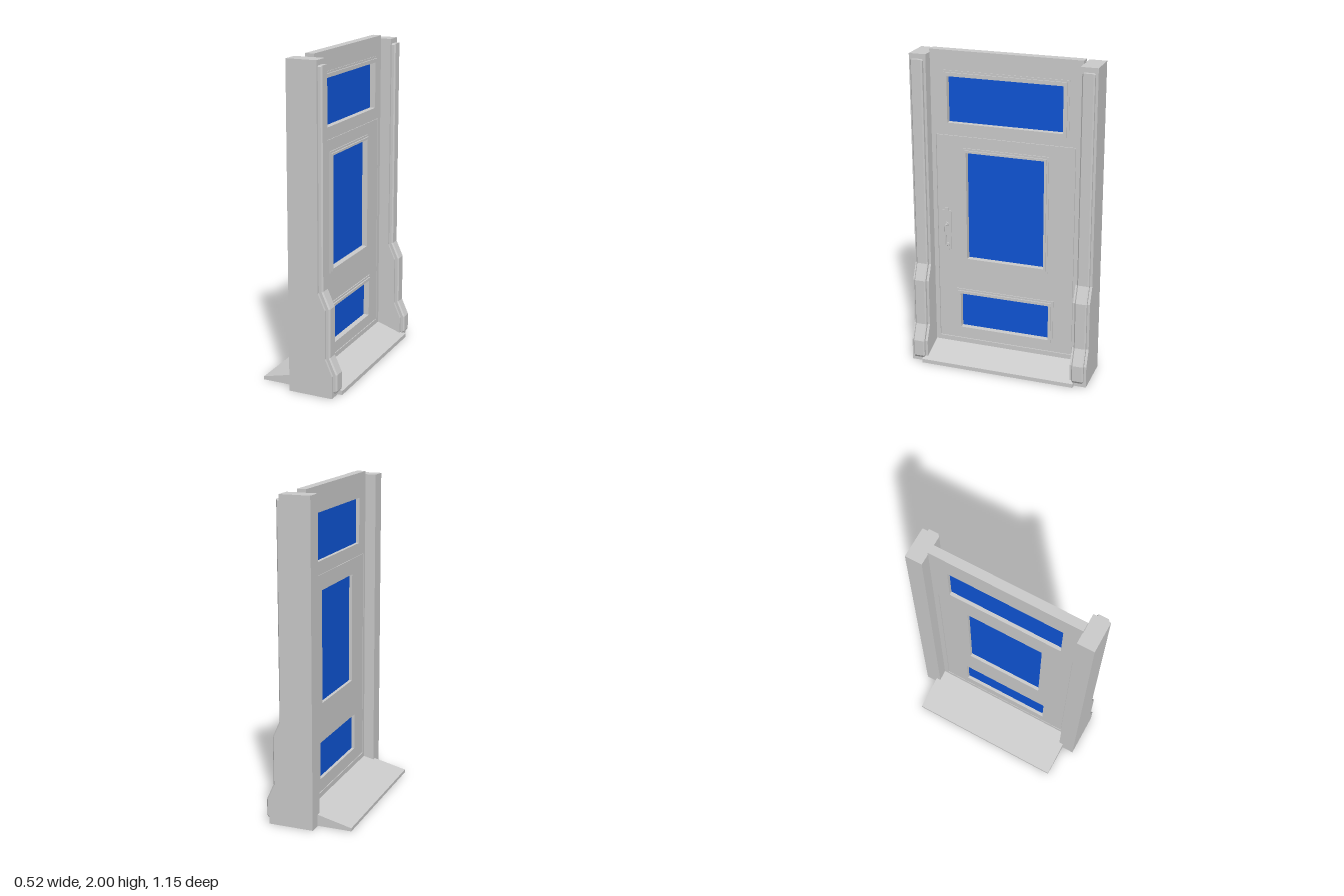
import * as THREE from 'three';

const grey = new THREE.MeshStandardMaterial({ color: 0xcccccc, flatShading: true });
const smooth = new THREE.MeshStandardMaterial({ color: 0xcccccc });
const sheet = new THREE.MeshStandardMaterial({ color: 0xcccccc, flatShading: true, side: THREE.DoubleSide });
const blue = new THREE.MeshStandardMaterial({ color: 0x0f55d7 });

const polygon = pts => new THREE.Shape(pts.map(p => new THREE.Vector2(...p)));

// Rectangle [z0, z1, y0, y1] as a loop; shape x stands for -z
const rect = ([z0, z1, y0, y1]) => [[-z1, y0], [-z0, y0], [-z0, y1], [-z1, y1]];
const grow = ([z0, z1, y0, y1], d) => [z0 - d, z1 + d, y0 - d, y1 + d];

export function createModel() {
  const model = new THREE.Group();
  const add = (name, geometry, material = grey) => {
    const mesh = new THREE.Mesh(geometry, material);
    mesh.name = name;
    model.add(mesh);
    return mesh;
  };

  // Upright slab lying across z, from x0 to x1, with holes
  const slab = (name, outline, holes, x0, x1, material) => {
    const shape = polygon(outline);
    holes.forEach(h => shape.holes.push(new THREE.Path(rect(h).map(p => new THREE.Vector2(...p)))));
    const geo = new THREE.ExtrudeGeometry(shape, { depth: x1 - x0, bevelEnabled: false });
    geo.rotateY(Math.PI / 2).translate(x0, 0, 0);
    return add(name, geo, material);
  };

  // Pillars with a stepped foot, and a bevelled strip following the front
  const front = [[0.23, 0.14], [0.185, 0.24], [0.185, 0.54], [0.14, 0.64]];
  const pillar = polygon([[-0.05, 0], [0.23, 0], ...front, [0.14, 1.98], [-0.05, 1.98]]);
  const outer = front.map(([x, y]) => [x + 0.025, y + 0.008]);
  const inner = front.map(([x, y]) => [x - 0.015, y - 0.005]).reverse();
  const strip = polygon([[0.215, 0.03], [0.245, 0.03], [0.255, 0.045], ...outer,
    [0.165, 1.95], [0.125, 1.95], ...inner]);
  for (const [side, s] of [['left', 1], ['right', -1]]) {
    add(side + 'Pillar', new THREE.ExtrudeGeometry(pillar, { depth: 0.105, bevelEnabled: false }))
      .position.z = s * 0.5225 - 0.0525;
    add(side + 'PillarTrim', new THREE.ExtrudeGeometry(strip, {
      depth: 0.059, bevelThickness: 0.008, bevelSize: 0.008, bevelOffset: -0.008, bevelSegments: 1,
    })).position.z = s * 0.5225 - 0.0295;
  }

  // Door frame with openings for the transom and the door
  const transom = [-0.358, 0.362, 1.56, 1.845];
  const opening = [-0.437, 0.443, 0.12, 1.48];
  const leaf = grow(opening, -0.003);
  const upper = [-0.247, 0.247, 0.685, 1.38];
  const lower = [-0.283, 0.295, 0.205, 0.44];
  slab('doorFrame', rect([-0.472, 0.472, 0.04, 2]), [transom, opening], 0.018, 0.074);
  slab('doorLeaf', rect(leaf), [upper, lower], 0.02, 0.072);

  // Panes with stepped mouldings on the outside
  const windows = [['transom', transom, 0.035], ['upper', upper, 0.026], ['lower', lower, 0.03]];
  for (const [name, r, width] of windows) {
    slab(name + 'Pane', rect(grow(r, 0.002)), [], 0.04, 0.05, blue);
    slab(name + 'OuterMoulding', rect(grow(r, width)), [grow(r, width - 0.012)], 0.07, 0.078);
    slab(name + 'InnerMoulding', rect(grow(r, width - 0.012)), [r], 0.07, 0.086);
  }

  // Handle: notched back plate, two round posts and a bar
  const hz = 0.382;
  const half = [[0.014, 0.725], [0.014, 0.735], [0.028, 0.735], [0.028, 0.99], [0.014, 0.99], [0.014, 1.01]];
  const mirrored = half.map(([x, y]) => [-x, y]).reverse();
  slab('handlePlate', [...half, ...mirrored].map(([x, y]) => [x - hz, y]), [], 0.07, 0.079);
  for (const y of [0.765, 0.9]) {
    const rose = add('handleRose', new THREE.CylinderGeometry(0.015, 0.015, 0.01, 20), smooth);
    rose.position.set(0.083, y, hz);
    const post = add('handlePost', new THREE.CylinderGeometry(0.008, 0.008, 0.03, 16), smooth);
    post.position.set(0.092, y, hz);
    rose.rotation.z = post.rotation.z = -Math.PI / 2;
  }
  add('handleBar', new THREE.CapsuleGeometry(0.006, 0.135, 4, 12), smooth).position.set(0.101, 0.8325, hz);

  // Sloping sill: a ridged shell with closed ends, open underneath
  const ridge = [[-0.265, 0], [-0.265, 0.02], [0.018, 0.088], [0.074, 0.09], [0.26, 0.025], [0.26, 0]];
  const pos = [];
  for (let i = 0; i < ridge.length - 1; i++) {
    const [a, b] = [ridge[i], ridge[i + 1]];
    const [p, q, r, s] = [[...a, -0.498], [...a, 0.498], [...b, 0.498], [...b, -0.498]];
    pos.push(...p, ...q, ...r, ...p, ...r, ...s);
  }
  const shell = new THREE.BufferGeometry();
  shell.setAttribute('position', new THREE.Float32BufferAttribute(pos, 3));
  shell.computeVertexNormals();
  add('sill', shell, sheet);
  for (const z of [-0.498, 0.498]) add('sillEnd', new THREE.ShapeGeometry(polygon(ridge)), sheet).position.z = z;

  return model;
}
